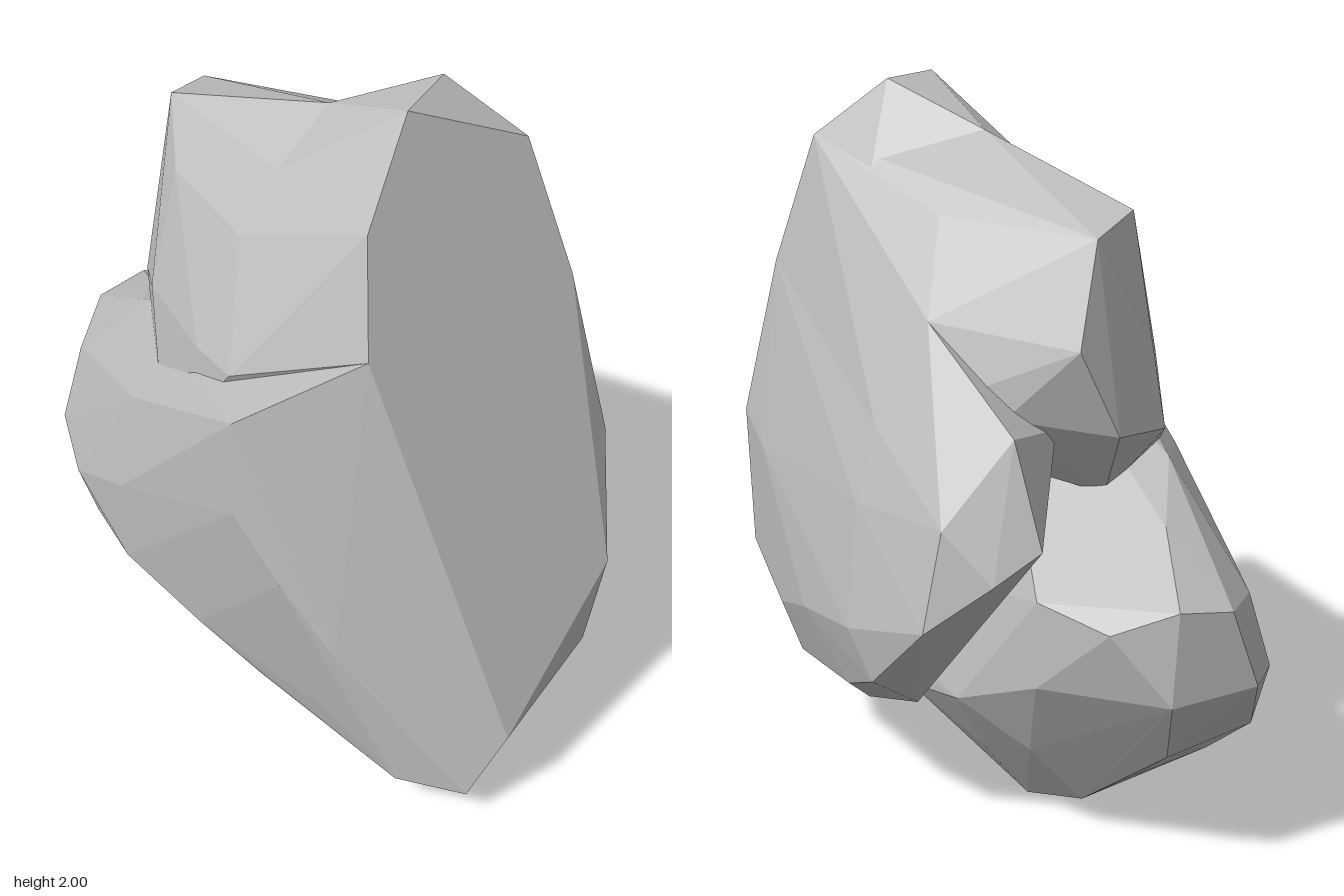
import * as THREE from 'three';
import { ConvexGeometry } from 'three/addons/geometries/ConvexGeometry.js';

const stone = new THREE.MeshStandardMaterial({ color: 0xbebebe });
stone.name = 'grey stone';

// Sheared right side: x on the slanted plane for a given height
const sheared = (y, z) => [0.37 + (2 - y) * 0.315, y, z];

// One faceted lump wrapped around its corner points
function lump(name, corners) {
  const geometry = new ConvexGeometry(corners.map((p) => new THREE.Vector3(...p)));
  const mesh = new THREE.Mesh(geometry, stone);
  mesh.name = name;
  return mesh;
}

export function createModel() {
  const rock = new THREE.Group();
  rock.name = 'rock';

  // Corners shared by lumps where they meet
  const shearTop = [sheared(1.84, -0.32), sheared(1.76, 0.19), sheared(1.47, -0.4)];
  const crest = [[0.06, 1.88, 0.02], [0.08, 1.76, 0.19], [0.1, 1.6, -0.34]];
  const shearMiddle = sheared(1.47, 0.25);
  const backMiddle = [[-0.25, 1.47, -0.31], [0.2, 1.25, -0.43], [-0.2, 1.2, -0.44], sheared(1.47, -0.4)];
  const shearFoot = [sheared(0.32, 0.03), [0.85, 0.4, -0.14]];

  // Pointed peak on the right
  rock.add(lump('peak', [
    [0.37, 2, 0.02], [0.28, 2, -0.16], ...crest, ...shearTop,
  ]));

  // Upper body, cut in on the left and shallow at the front right
  rock.add(lump('upperBody', [
    ...crest, [-0.43, 1.74, 0.18], [-0.52, 1.7, 0.02], [-0.1, 1.7, -0.2],
    ...shearTop, shearMiddle, ...backMiddle,
    // left side above the notch
    [-0.58, 1.44, -0.06], [-0.58, 1.2, 0.06], [-0.45, 1.25, -0.2],
    [-0.48, 1.4, 0.21], [-0.5, 1.17, 0.25],
    // front
    [-0.26, 1.62, 0.28], [0.07, 1.6, 0.3], [0.25, 1.52, 0.26],
    [-0.25, 1.3, 0.38], [0.05, 1.3, 0.43], [0.2, 1.3, 0.43], [-0.1, 0.9, 0.46],
    [-0.45, 1, 0.1], [0.6, 1, -0.2],
  ]));

  // Back bulge, overhanging the groove below
  rock.add(lump('backBulge', [
    ...backMiddle, shearMiddle, sheared(0.66, -0.39), [0.82, 0.44, -0.3], ...shearFoot,
    [-0.59, 1.25, -0.25], [-0.45, 1.2, -0.05], [-0.55, 1.03, -0.43],
    [-0.2, 1, -0.5], [0.1, 0.9, -0.51], [0.45, 0.95, -0.5], [0.65, 1, -0.47],
    [-0.24, 0.67, -0.55], [0.08, 0.6, -0.54], [0.65, 0.58, -0.46], [0.35, 0.5, -0.5],
    // lower rim, rising to the left
    [0.62, 0.4, -0.4], [0.35, 0.33, -0.44], [-0.08, 0.42, -0.48],
    [-0.3, 0.53, -0.51], [-0.54, 0.76, -0.48], [-0.65, 0.9, -0.34], [-0.68, 0.98, -0.22],
    // underside
    [0.5, 0.26, -0.3], [0.12, 0.25, -0.33], [0.35, 0.25, -0.2], [-0.2, 0.38, -0.33],
  ]));

  // Low front bulge with the left shoulder and the keel it stands on
  rock.add(lump('lowerBulge', [
    // left shoulder
    [-0.9, 0.85, 0.04], [-0.9, 0.82, 0.2], [-0.68, 0.98, 0.14], [-0.82, 0.79, -0.11],
    [-0.91, 0.6, 0.02], [-0.91, 0.6, 0.28], [-0.78, 0.38, 0.1], [-0.76, 0.4, 0.38],
    [-0.75, 0.55, 0.44], [-0.75, 0.78, 0.36], [-0.48, 1.08, 0.28],
    [-0.62, 0.82, -0.2], [-0.62, 0.58, -0.2],
    // front
    [-0.53, 0.52, 0.52], [-0.5, 0.36, 0.48], [-0.21, 0.7, 0.545], [-0.24, 0.4, 0.53],
    [-0.2, 1, 0.49], [0.05, 1.05, 0.52], [0.07, 0.35, 0.48], [0.26, 0.25, 0.4],
    [0.4, 0.14, 0.28], [0.5, 0.32, 0.37], [0.6, 0.6, 0.39], [0.72, 0.15, 0.27],
    [0.36, 1.3, 0.53], [0.35, 1, 0.53], [0.48, 0.82, 0.48],
    shearMiddle, ...shearFoot, [0.86, 0.12, 0.13],
    // keel
    [-0.2, 0, 0.02], [0.07, 0.02, 0.03], [0.3, 0.06, 0.1], [-0.45, 0.1, 0.05],
    [-0.6, 0.23, 0.12], [-0.58, 0.24, 0.37], [-0.45, 0.3, -0.12],
    [-0.2, 0.2, -0.13], [0.07, 0.18, -0.1],
    // groove under the back bulge
    [0.6, 0.32, -0.18], [0.4, 0.27, -0.2], [0.05, 0.3, -0.23], [-0.3, 0.42, -0.26],
  ]));

  return rock;
}
